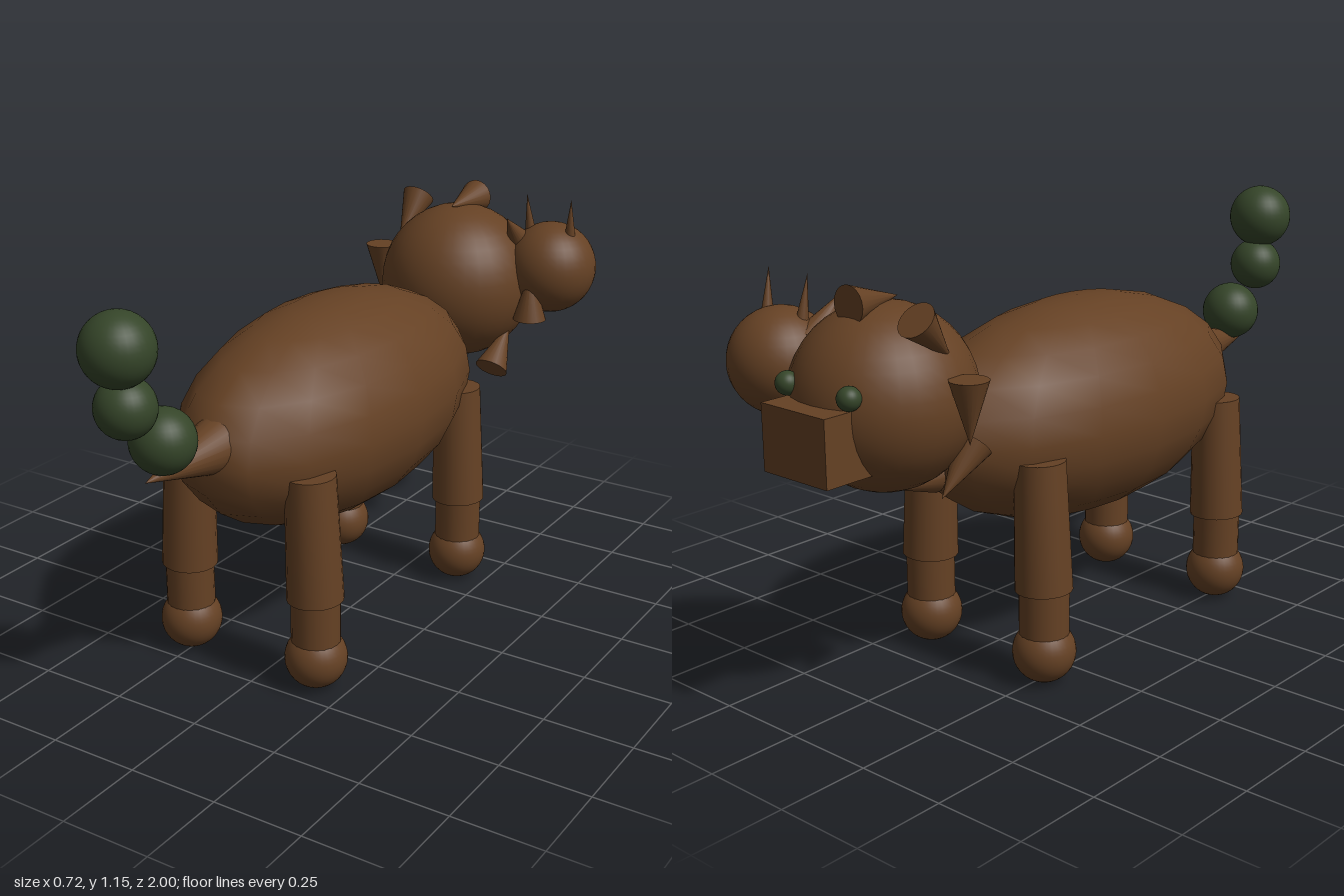
import * as THREE from 'three';

export function createModel() {
  const root = new THREE.Group();
  root.name = 'manyHeadedBeast';

  const brown = new THREE.MeshStandardMaterial({ color: 0x654124 });
  brown.name = 'brown hide';
  const green = new THREE.MeshStandardMaterial({ color: 0x354529 });
  green.name = 'dark green scales';

  const CX = -0.053; // centre line of the animal

  const add = (name, geometry, material, x, y, z, parent = root) => {
    const mesh = new THREE.Mesh(geometry, material);
    mesh.name = name;
    mesh.position.set(x, y, z);
    parent.add(mesh);
    return mesh;
  };
  const ball = (r) => new THREE.SphereGeometry(r, 32, 20);

  // Body: long ellipsoid
  const body = add('body', new THREE.SphereGeometry(1, 16, 12), brown, CX, 0.65, 0.02);
  body.scale.set(0.3, 0.3, 0.6);

  // Legs: leaning thigh, straight shin, round paw
  const thigh = new THREE.CylinderGeometry(0.068, 0.077, 0.35, 20);
  const shin = new THREE.CylinderGeometry(0.067, 0.067, 0.17, 20);
  for (const z of [0.415, -0.36]) {
    for (const side of [-1, 1]) {
      const leg = new THREE.Group();
      leg.name = (z > 0 ? 'front' : 'back') + (side > 0 ? 'LeftLeg' : 'RightLeg');
      leg.position.set(CX, 0, z);
      root.add(leg);
      add('thigh', thigh, brown, side * 0.201, 0.435, 0, leg).rotation.z = side * 0.035;
      add('shin', shin, brown, side * 0.208, 0.2, 0, leg);
      add('paw', ball(0.085), brown, side * 0.208, 0.087, 0, leg);
    }
  }

  // Main head with snout and eyes
  const head = new THREE.Group();
  head.name = 'maneHead';
  head.position.set(CX, 0.82, -0.71);
  root.add(head);
  add('skull', ball(0.236), brown, 0, 0, 0, head);
  add('snout', new THREE.BoxGeometry(0.22, 0.17, 0.22), brown, 0, -0.06, -0.18, head);
  for (const side of [-1, 1]) {
    add('eye', ball(0.03), green, side * 0.107, 0.056, -0.21, head);
  }

  // Mane: ring of cones, each turned further around the x axis
  const tuft = new THREE.ConeGeometry(0.05, 0.16, 20);
  for (let i = 0; i < 8; i++) {
    const a = (i * Math.PI) / 4;
    const cone = add('maneTuft', tuft, brown,
      Math.cos(a) * 0.262, Math.sin(a) * 0.24, 0.025 - Math.sin(a) * 0.05, head);
    cone.rotation.x = a;
  }

  // Second head on the left shoulder, with horns
  const horned = new THREE.Group();
  horned.name = 'hornedHead';
  horned.position.set(0.22, 0.88, -0.795);
  root.add(horned);
  add('skull', ball(0.138), brown, 0, 0, 0, horned);
  for (const side of [-1, 1]) {
    const horn = add('horn', new THREE.ConeGeometry(0.022, 0.16, 16), brown,
      side * 0.068, 0.145, 0.02, horned);
    horn.rotation.set(0.15, 0, -side * 0.06);
  }

  // Tail: tapering root and a chain of balls
  const tail = add('tailRoot', new THREE.ConeGeometry(0.08, 0.3, 24), brown, CX, 0.695, 0.685);
  tail.rotation.x = Math.PI / 2;
  const chain = [[0.78, 0.76, 0.085], [0.907, 0.89, 0.077], [1.055, 0.907, 0.093]];
  for (const [y, z, r] of chain) add('tailBall', ball(r), green, CX, y, z);

  return root;
}
